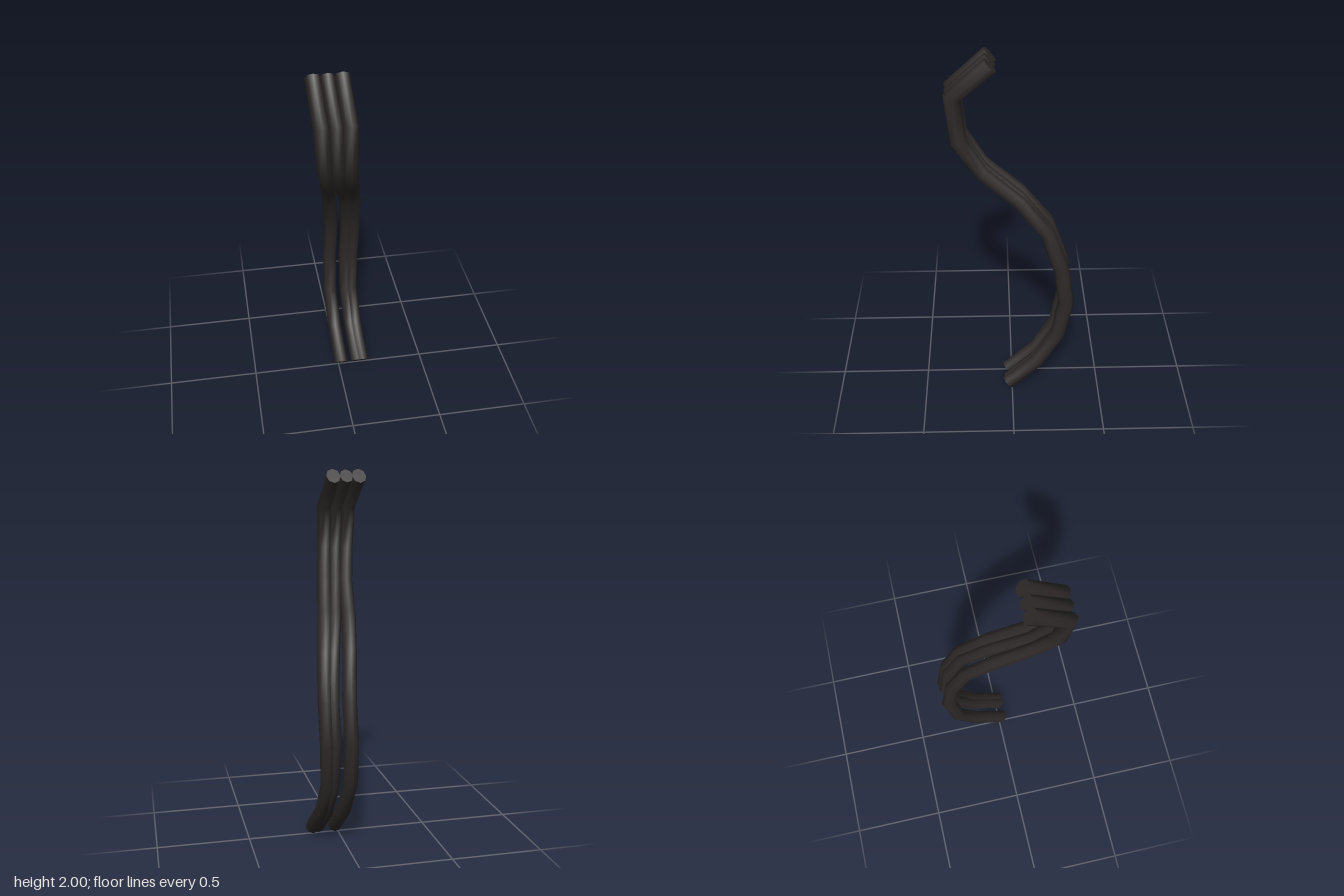
import * as THREE from 'three';

const SIDES = 8;

// Shared side path, bottom to top: [y, z, half-depth, x of each hose]
const PATH = [
  [0.034, 0.02, 0.042, 0.015, 0.11, 0.14],
  [0.19, -0.15, 0.041, 0.0, 0.093, 0.125],
  [0.38, -0.26, 0.042, -0.01, 0.085, 0.115],
  [0.61, -0.298, 0.044, -0.005, 0.085, 0.125],
  [0.835, -0.267, 0.043, 0.0, 0.09, 0.13],
  [1.065, -0.185, 0.04, -0.02, 0.068, 0.115],
  [1.235, -0.04, 0.039, -0.05, 0.025, 0.08],
  [1.39, 0.155, 0.04, -0.08, -0.02, 0.04],
  [1.56, 0.27, 0.045, -0.11, -0.045, 0.015],
  [1.80, 0.295, 0.047, -0.13, -0.06, 0.008],
  [1.962, 0.105, 0.048, -0.142, -0.073, -0.002],
];

// Centre and bend-halving normal of one cross-section
function section(i, hose) {
  const dir = (a, b) => new THREE.Vector2(b[1] - a[1], b[0] - a[0]).normalize();
  const t = new THREE.Vector2();
  if (i > 0) t.add(dir(PATH[i - 1], PATH[i]));
  if (i < PATH.length - 1) t.add(dir(PATH[i], PATH[i + 1]));
  t.normalize();
  const [y, z, depth] = PATH[i];
  return { x: PATH[i][3 + hose], y, z, depth, ny: -t.x, nz: t.y };
}

function hoseGeometry(hose, size) {
  const pos = [], index = [];
  const ring = (i) => {
    const s = section(i, hose);
    for (let k = 0; k < SIDES; k++) {
      const a = (k / SIDES) * Math.PI * 2;
      const d = Math.sin(a) * s.depth * size;
      pos.push(s.x + Math.cos(a) * 0.039 * size, s.y + d * s.ny, s.z + d * s.nz);
    }
  };
  // Smooth wall
  PATH.forEach((_, i) => ring(i));
  for (let i = 0; i < PATH.length - 1; i++) {
    for (let k = 0; k < SIDES; k++) {
      const a = i * SIDES + k, b = i * SIDES + (k + 1) % SIDES;
      index.push(a, a + SIDES, b, b, a + SIDES, b + SIDES);
    }
  }
  // Flat ends with their own vertices, so the rims stay sharp
  for (const [i, top] of [[0, false], [PATH.length - 1, true]]) {
    const start = pos.length / 3;
    ring(i);
    for (let k = 1; k < SIDES - 1; k++) {
      if (top) index.push(start, start + k + 1, start + k);
      else index.push(start, start + k, start + k + 1);
    }
  }
  const geo = new THREE.BufferGeometry();
  geo.setAttribute('position', new THREE.Float32BufferAttribute(pos, 3));
  geo.setIndex(index);
  geo.computeVertexNormals();
  return geo;
}

export function createModel() {
  const group = new THREE.Group();
  group.name = 'hoseBundle';
  const rubber = new THREE.MeshStandardMaterial({ color: 0x2e2929, side: THREE.DoubleSide });
  // Three hoses side by side; the middle one is slightly thinner
  [['rightHose', 1], ['middleHose', 0.92], ['leftHose', 1]].forEach(([name, size], i) => {
    const mesh = new THREE.Mesh(hoseGeometry(i, size), rubber);
    mesh.name = name;
    group.add(mesh);
  });
  return group;
}
